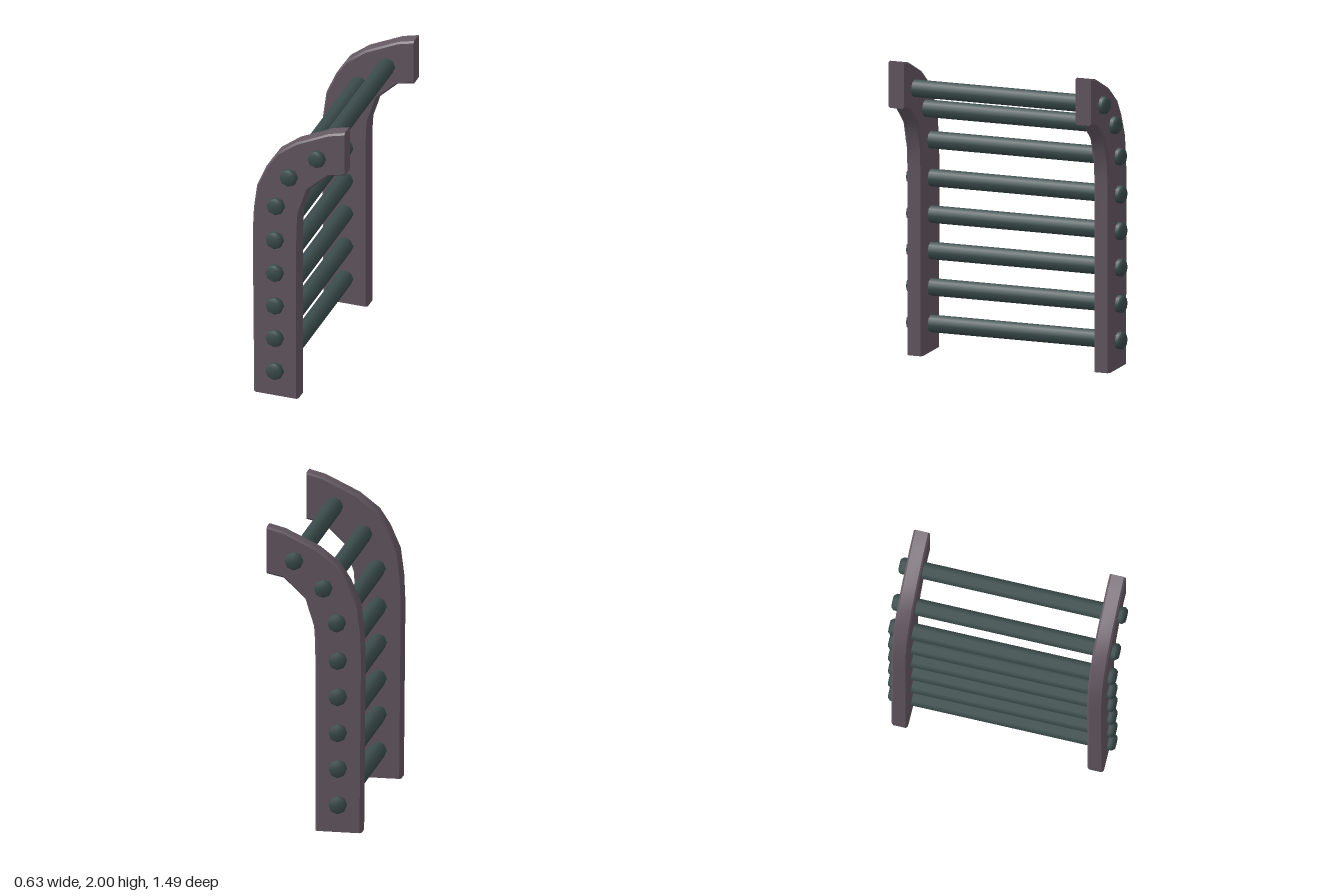
import * as THREE from 'three';
import { toCreasedNormals } from 'three/addons/utils/BufferGeometryUtils.js';

const railMaterial = new THREE.MeshStandardMaterial({ color: 0x645862 });
const rungMaterial = new THREE.MeshStandardMaterial({ color: 0x3b4c4c });

// Rail stations: outer x, y and inner x, y
const STATIONS = [
  [-0.305, 0, -0.003, 0],
  [-0.315, 1.157, -0.003, 1.157],
  [-0.307, 1.34, 0, 1.28],
  [-0.285, 1.51, 0.005, 1.358],
  [-0.22, 1.66, 0.035, 1.45],
  [-0.15, 1.767, 0.06, 1.533],
  [-0.02, 1.867, 0.13, 1.6],
  [0.205, 1.973, 0.2, 1.666],
  [0.312, 2, 0.312, 1.69],
];

// Curved rail: a chamfered rectangle lofted through the stations
function railGeometry(half, chamfer) {
  const positions = [], index = [], n = 8;
  for (const [ox, oy, ix, iy] of STATIONS) {
    const width = Math.hypot(ix - ox, iy - oy);
    const c = chamfer / width, h = half - chamfer;
    const ring = [
      [c, half], [1 - c, half], [1, h], [1, -h],
      [1 - c, -half], [c, -half], [0, -h], [0, h],
    ];
    for (const [t, z] of ring) positions.push(ox + (ix - ox) * t, oy + (iy - oy) * t, z);
  }
  const last = (STATIONS.length - 1) * n;
  for (let a = 0; a < last; a += n) {
    for (let j = 0; j < n; j++) {
      const k = (j + 1) % n;
      index.push(a + j, a + k, a + n + k, a + j, a + n + k, a + n + j);
    }
  }
  // Flat ends
  for (let j = 1; j < n - 1; j++) {
    index.push(0, j + 1, j);
    index.push(last, last + j, last + j + 1);
  }
  const geometry = new THREE.BufferGeometry();
  geometry.setAttribute('position', new THREE.Float32BufferAttribute(positions, 3));
  geometry.setIndex(index);
  return toCreasedNormals(geometry, 0.65);
}

// Eight-sided rung with softened ends, lying along z
function rungGeometry(radius, half) {
  const profile = [
    [0, -half], [radius * 0.72, -half], [radius, -half + 0.018], [radius, -half + 0.03],
    [radius, half - 0.03], [radius, half - 0.018], [radius * 0.72, half], [0, half],
  ].map(([x, y]) => new THREE.Vector2(x, y));
  return new THREE.LatheGeometry(profile, 8).rotateX(Math.PI / 2);
}

export function createModel() {
  const model = new THREE.Group();
  model.name = 'curvedLadder';

  const railShape = railGeometry(0.053, 0.012);
  for (const [name, z] of [['frontRail', 0.643], ['backRail', -0.643]]) {
    const rail = new THREE.Mesh(railShape, railMaterial);
    rail.name = name;
    rail.position.z = z;
    model.add(rail);
  }

  // Rungs follow the middle of the rails
  const rungShape = rungGeometry(0.058, 0.745);
  const rungs = [
    [-0.155, 0.185], [-0.155, 0.425], [-0.155, 0.663], [-0.155, 0.902],
    [-0.155, 1.142], [-0.148, 1.392], [-0.06, 1.617], [0.13, 1.789],
  ];
  rungs.forEach(([x, y], i) => {
    const rung = new THREE.Mesh(rungShape, rungMaterial);
    rung.name = `rung${i + 1}`;
    rung.position.set(x, y, 0);
    model.add(rung);
  });
  return model;
}
